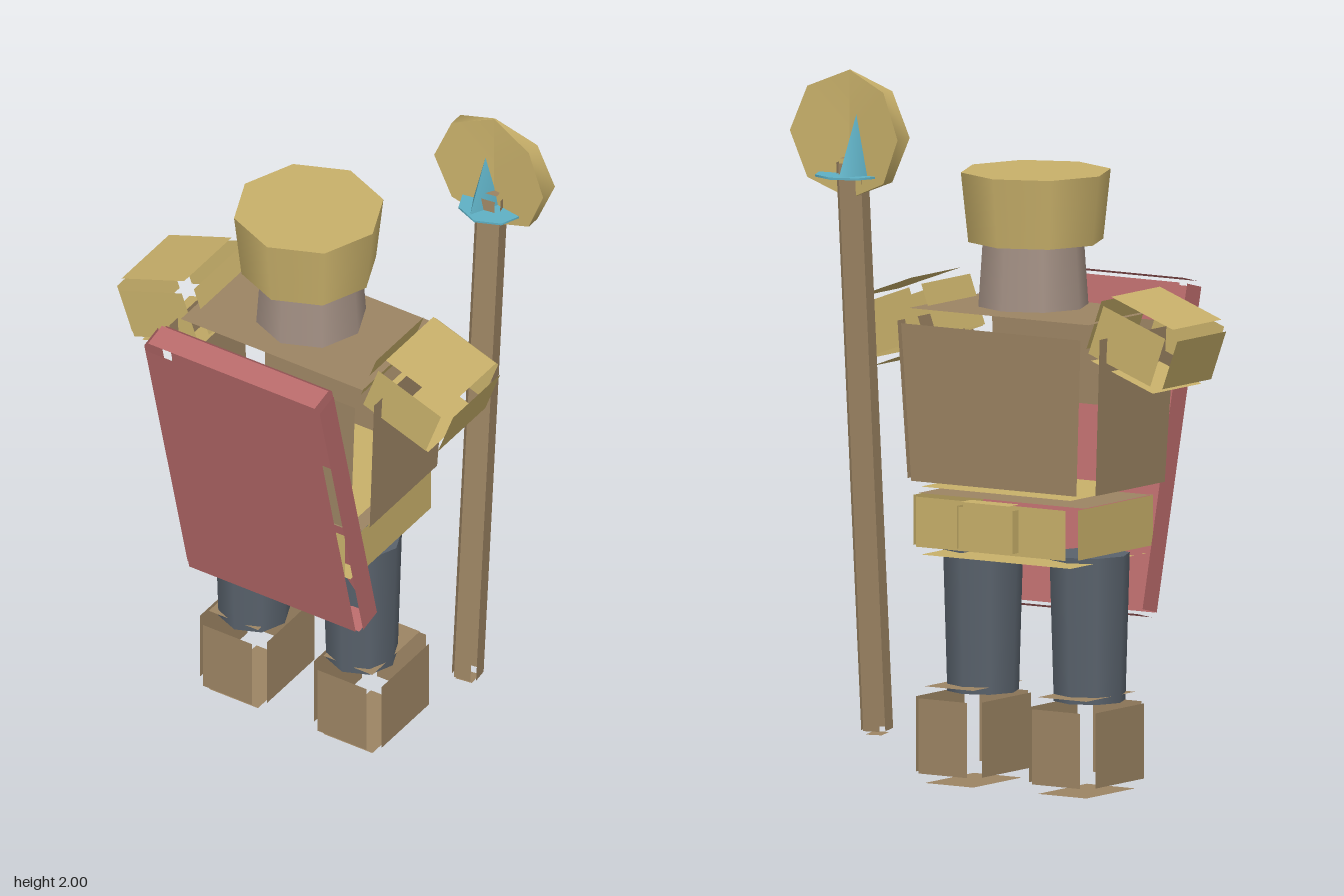
import * as THREE from 'three';
import { mergeGeometries } from 'three/addons/utils/BufferGeometryUtils.js';

const paint = (name, color) => {
  const m = new THREE.MeshStandardMaterial({ color, side: THREE.DoubleSide });
  m.name = name;
  return m;
};

export function createModel() {
  const model = new THREE.Group();
  model.name = 'staffBearer';
  const gold = paint('gold', 0xc8b06a);
  const brown = paint('brown', 0x9c8463);
  const red = paint('red', 0xb86a6a);
  const slate = paint('slate', 0x59626c);
  const skin = paint('skin', 0xa39084);
  const teal = paint('teal', 0x5fb0c4);

  const add = (name, geometry, material, x, y, z) => {
    const mesh = new THREE.Mesh(geometry, material);
    mesh.name = name;
    mesh.position.set(x, y, z);
    model.add(mesh);
    return mesh;
  };

  // Box of six separate plates, each pushed outward by gap; taper scales the lower end
  const plateBox = (w, h, d, gap, taper = 1) => {
    const plate = (a, b, out, rx, ry) => new THREE.PlaneGeometry(a, b)
      .translate(0, 0, out / 2).rotateX(rx).rotateY(ry);
    const q = Math.PI / 2;
    const plates = [
      [plate(w, h, d, 0, 0), 0, 0, 1], [plate(w, h, d, 0, 2 * q), 0, 0, -1],
      [plate(d, h, w, 0, q), 1, 0, 0], [plate(d, h, w, 0, -q), -1, 0, 0],
      [plate(w, d, h, -q, 0), 0, 1, 0], [plate(w, d, h, q, 0), 0, -1, 0],
    ];
    for (const [g, nx, ny, nz] of plates) {
      const p = g.attributes.position;
      for (let i = 0; i < p.count; i++) {
        const k = p.getY(i) < 0 ? taper : 1;
        p.setXYZ(i, p.getX(i) * k, p.getY(i), p.getZ(i) * k);
      }
      g.translate(nx * gap, ny * gap, nz * gap);
      g.computeVertexNormals();
    }
    return mergeGeometries(plates.map(([g]) => g));
  };

  // Feet and legs
  for (const [side, footX, legX] of [['right', -0.213, -0.203], ['left', 0.165, 0.153]]) {
    add(side + 'Foot', plateBox(0.162, 0.21, 0.24, 0.03), brown, footX, 0.135, -0.03);
    add(side + 'Leg', new THREE.CylinderGeometry(0.113, 0.101, 0.41, 8), slate, legX, 0.455, 0);
  }

  // Belt, buckle and torso
  add('belt', plateBox(0.5, 0.14, 0.37, 0.025), gold, -0.023, 0.74, -0.012);
  add('buckle', plateBox(0.162, 0.12, 0.05, 0.012), gold, -0.023, 0.74, -0.225);
  add('torso', plateBox(0.6, 0.44, 0.37, 0.038, 0.92), brown, -0.023, 1.07, 0.002);

  // Shoulder guards
  for (const [name, x, tilt] of [['rightShoulder', -0.426, 0.35], ['leftShoulder', 0.38, -0.35]]) {
    add(name, plateBox(0.22, 0.146, 0.24, 0.025), gold, x, 1.273, 0).rotation.z = tilt;
  }

  // Head and flared hat
  add('head', new THREE.CylinderGeometry(0.142, 0.155, 0.19, 8), skin, -0.023, 1.435, -0.012);
  add('hat', new THREE.CylinderGeometry(0.211, 0.19, 0.195, 8), gold, -0.023, 1.617, 0);

  // Leaning front panel
  add('panel', plateBox(0.55, 0.91, 0.072, 0.015), red, -0.023, 0.934, 0.243).rotation.x = 0.243;

  // Staff
  const staff = add('staff', plateBox(0.05, 1.6, 0.05, 0.012), brown, 0.377, 0.945, -0.253);
  staff.rotation.set(-0.064, 0.15, -0.008);

  // Staff head: an octagonal disc pinched thin along its vertical middle
  const disc = new THREE.CylinderGeometry(0.18, 0.18, 2, 8).rotateX(Math.PI / 2);
  const p = disc.attributes.position;
  for (let i = 0; i < p.count; i++) {
    p.setZ(i, Math.sign(p.getZ(i)) * (0.002 + 0.028 * Math.abs(p.getX(i)) / 0.18));
  }
  disc.computeVertexNormals();
  add('staffDisc', disc, gold, 0.388, 1.82, -0.31);

  // Crystal spike through the disc, on an octagonal base
  const spike = new THREE.ConeGeometry(0.088, 0.17, 4).scale(0.5, 1, 1);
  spike.computeVertexNormals();
  add('crystal', spike, teal, 0.362, 1.795, -0.315);
  add('crystalBase', new THREE.CylinderGeometry(0.1, 0.1, 0.006, 8), teal, 0.386, 1.707, -0.31);

  return model;
}
